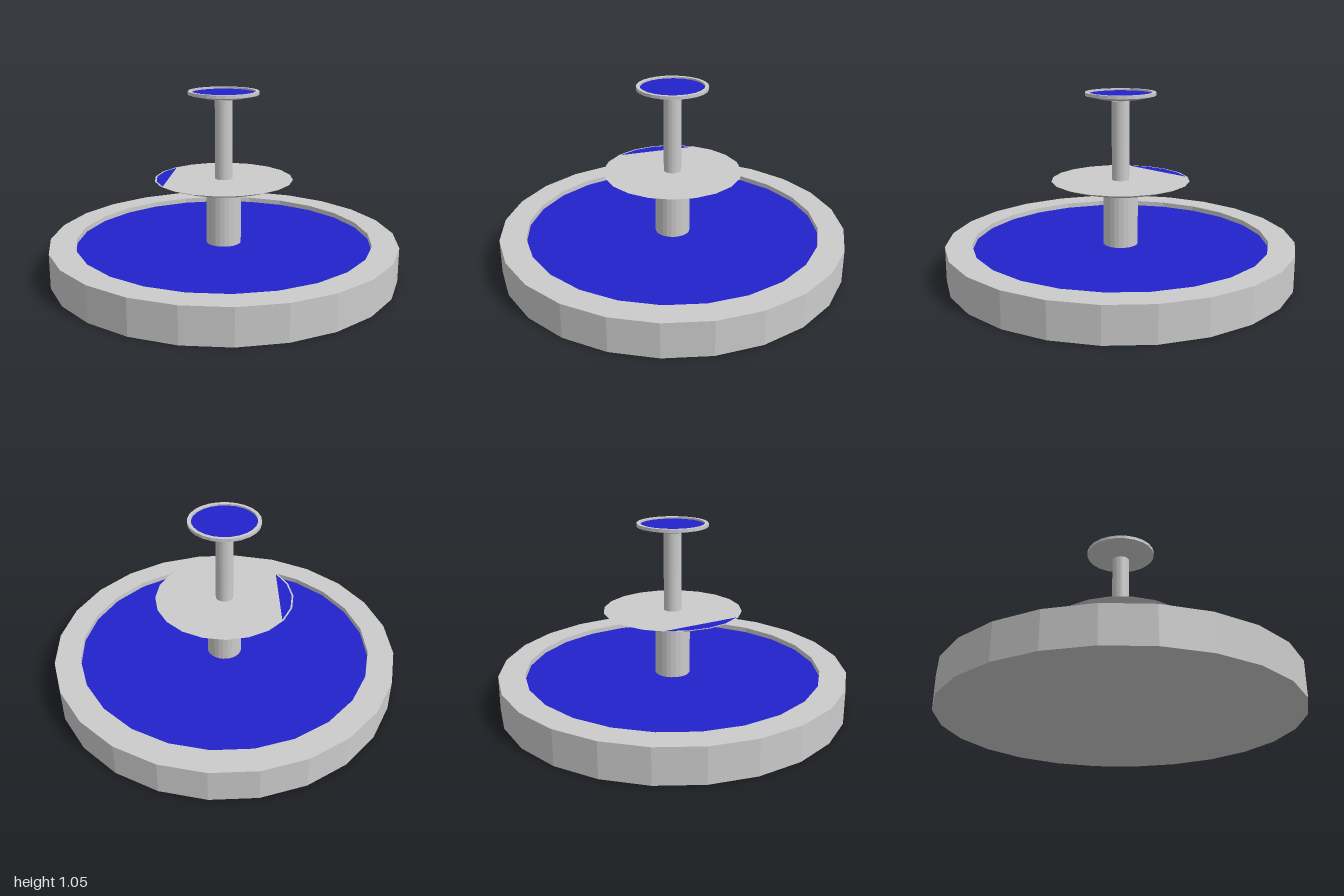
import * as THREE from 'three';

const SIDES = 24;
const stone = new THREE.MeshStandardMaterial({ color: 0xcccccc, flatShading: true });
const water = new THREE.MeshStandardMaterial({ color: 0x2222cc });

export function createModel() {
  const group = new THREE.Group();

  const add = (name, geometry, material, y = 0) => {
    const mesh = new THREE.Mesh(geometry, material);
    mesh.name = name;
    mesh.position.y = y;
    group.add(mesh);
  };

  // Profile of [radius, height] pairs turned about the vertical axis
  const turned = (profile, sides = SIDES) =>
    new THREE.LatheGeometry(profile.map(([r, y]) => new THREE.Vector2(r, y)), sides);

  // Level surface bounded by an arc (degrees) and the chord that closes it
  const level = (radius, from = 0, sweep = 360, steps = SIDES) => {
    const points = [];
    for (let i = 0; i <= steps; i++) {
      if (sweep === 360 && i === steps) break;
      const a = THREE.MathUtils.degToRad(from + (sweep * i) / steps);
      points.push(new THREE.Vector2(radius * Math.cos(a), radius * Math.sin(a)));
    }
    return new THREE.ShapeGeometry(new THREE.Shape(points)).rotateX(-Math.PI / 2);
  };

  const pillar = (name, radius, bottom, top) =>
    add(name, new THREE.CylinderGeometry(radius, radius, top - bottom, SIDES), stone, (bottom + top) / 2);

  // Pool with a wide rim
  add('basin', turned([[0, 0], [1, 0], [1, 0.2], [0.85, 0.2], [0.85, 0.05], [0, 0.05]]), stone);
  add('basinWater', level(0.85), water, 0.17);

  // Central columns
  pillar('lowerColumn', 0.1, 0.05, 0.5);
  pillar('upperColumn', 0.05, 0.55, 1.0);

  // Middle dish: curved underside, thin rim, level top with a sliver of water
  add('middleDish', turned([[0, 0.5], [0.2, 0.5], [0.3, 0.517], [0.36, 0.536], [0.395, 0.55], [0.385, 0.55]], 20), stone);
  add('middleDishTop', level(0.385, -108, 288, 16), stone, 0.55);
  add('middleDishWater', level(0.385, 180, 72, 4), water, 0.55);

  // Small top dish with a raised lip
  add('topDish', turned([[0, 1.0], [0.05, 1.003], [0.12, 1.013], [0.2, 1.032], [0.2, 1.05], [0.18, 1.05], [0.18, 1.035]]), stone);
  add('topDishWater', level(0.18), water, 1.04);

  return group;
}
